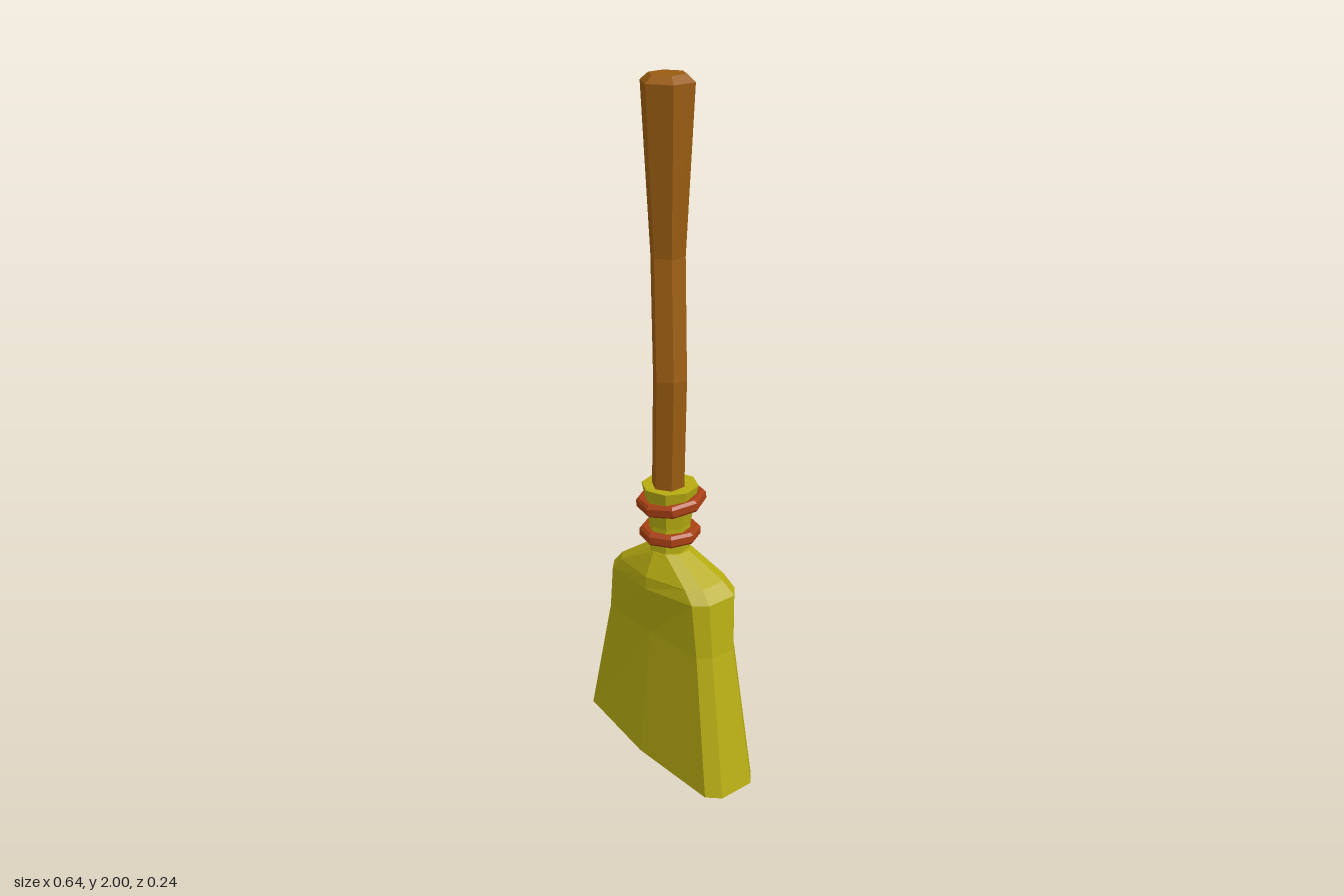
import * as THREE from 'three';

const paint = (color) => new THREE.MeshStandardMaterial({ color, flatShading: true });

// Skin a stack of equal-length rings (bottom to top) and cap both ends.
function loft(rings) {
  const n = rings[0].length;
  const pos = rings.flat(2);
  const index = [];
  for (let k = 0; k < rings.length - 1; k++) {
    for (let i = 0; i < n; i++) {
      const a = k * n + i, b = k * n + (i + 1) % n;
      index.push(a, a + n, b, b, a + n, b + n);
    }
  }
  [0, rings.length - 1].forEach((k, end) => {
    const c = pos.length / 3;
    for (let axis = 0; axis < 3; axis++) {
      pos.push(rings[k].reduce((sum, p) => sum + p[axis], 0) / n);
    }
    for (let i = 0; i < n; i++) {
      const a = k * n + i, b = k * n + (i + 1) % n;
      if (end) index.push(c, b, a); else index.push(c, a, b);
    }
  });
  const geo = new THREE.BufferGeometry();
  geo.setAttribute('position', new THREE.Float32BufferAttribute(pos, 3));
  geo.setIndex(index);
  geo.computeVertexNormals();
  return geo;
}

// Regular polygon ring around (x, z) at height y.
function polygon(sides, turn, [y, x, z, r]) {
  return Array.from({ length: sides }, (_, i) => {
    const a = turn + (i / sides) * Math.PI * 2;
    return [x + r * Math.cos(a), y, z + r * Math.sin(a)];
  });
}

// Ten-sided bristle section: chamfered corners plus a front and a back midpoint.
// Front and back depths are listed left edge, middle, right edge (-x to +x).
function bristleRing({ y: [yL, yR], x: [xL, xR], front, back, c }) {
  const outline = [
    [xR, front[2] - c], [xR - c, front[2]], [(xL + xR) / 2, front[1]],
    [xL + c, front[0]], [xL, front[0] - c],
    [xL, back[0] + c], [xL + c, back[0]], [(xL + xR) / 2, back[1]],
    [xR - c, back[2]], [xR, back[2] + c],
  ];
  return outline.map(([x, z]) => [x, yL + (yR - yL) * (x - xL) / (xR - xL), z]);
}

export function createModel() {
  const broom = new THREE.Group();
  broom.name = 'broom';
  const wood = paint(0x9a5c12), straw = paint(0xb5ab12), cord = paint(0xa84014);
  const add = (name, geo, mat) => {
    const mesh = new THREE.Mesh(geo, mat);
    mesh.name = name;
    broom.add(mesh);
    return mesh;
  };

  // Crooked hexagonal handle, flaring to a bevelled end: [y, x, z, radius]
  add('handle', loft([
    [0.72, -0.02, -0.005, 0.047],
    [0.86, -0.016, -0.005, 0.048],
    [1.19, -0.006, -0.003, 0.049],
    [1.52, -0.049, -0.034, 0.05],
    [1.98, -0.05, -0.034, 0.076],
    [2.0, -0.05, -0.034, 0.053],
  ].map((s) => polygon(6, Math.PI / 6, s))), wood);

  // Straw collar gripping the handle
  add('collar', loft([
    [0.65, -0.012, -0.004, 0.06],
    [0.75, -0.013, -0.008, 0.06],
    [0.83, -0.016, -0.012, 0.074],
    [0.865, -0.017, -0.013, 0.082],
  ].map((s) => polygon(8, 0.1, s))), straw);

  // Flat, slightly twisted bristle head
  add('bristles', loft([
    { y: [0.028, 0.005], x: [-0.295, 0.295], front: [0.05, 0.095, 0.1], back: [-0.095, -0.07, -0.04], c: 0.03 },
    { y: [0.052, 0.024], x: [-0.32, 0.32], front: [0.07, 0.12, 0.122], back: [-0.12, -0.093, -0.06], c: 0.035 },
    { y: [0.42, 0.42], x: [-0.24, 0.22], front: [0.055, 0.07, 0.07], back: [-0.085, -0.083, -0.075], c: 0.032 },
    { y: [0.565, 0.575], x: [-0.21, 0.197], front: [0.072, 0.092, 0.065], back: [-0.1, -0.116, -0.1], c: 0.035 },
    { y: [0.605, 0.61], x: [-0.175, 0.162], front: [0.067, 0.088, 0.06], back: [-0.09, -0.112, -0.09], c: 0.035 },
    { y: [0.675, 0.675], x: [-0.072, 0.05], front: [0.042, 0.055, 0.042], back: [-0.05, -0.062, -0.05], c: 0.025 },
  ].map(bristleRing)), straw);

  // Two tilted octagonal cord bands: [name, radius, x, y, z, tiltX, tiltZ]
  for (const [name, r, x, y, z, tiltX, tiltZ] of [
    ['upperBand', 0.1, -0.02, 0.815, -0.02, 0.1, 0.06],
    ['lowerBand', 0.088, -0.017, 0.718, -0.013, 0, 0.02],
  ]) {
    const profile = [[r - 0.04, -0.018], [r - 0.008, -0.018], [r, -0.01],
      [r, 0.01], [r - 0.008, 0.018], [r - 0.04, 0.018]];
    const band = add(name, new THREE.LatheGeometry(
      profile.map(([px, py]) => new THREE.Vector2(px, py)), 8), cord);
    band.position.set(x, y, z);
    band.rotation.set(tiltX, 0.1, tiltZ);
  }

  return broom;
}
